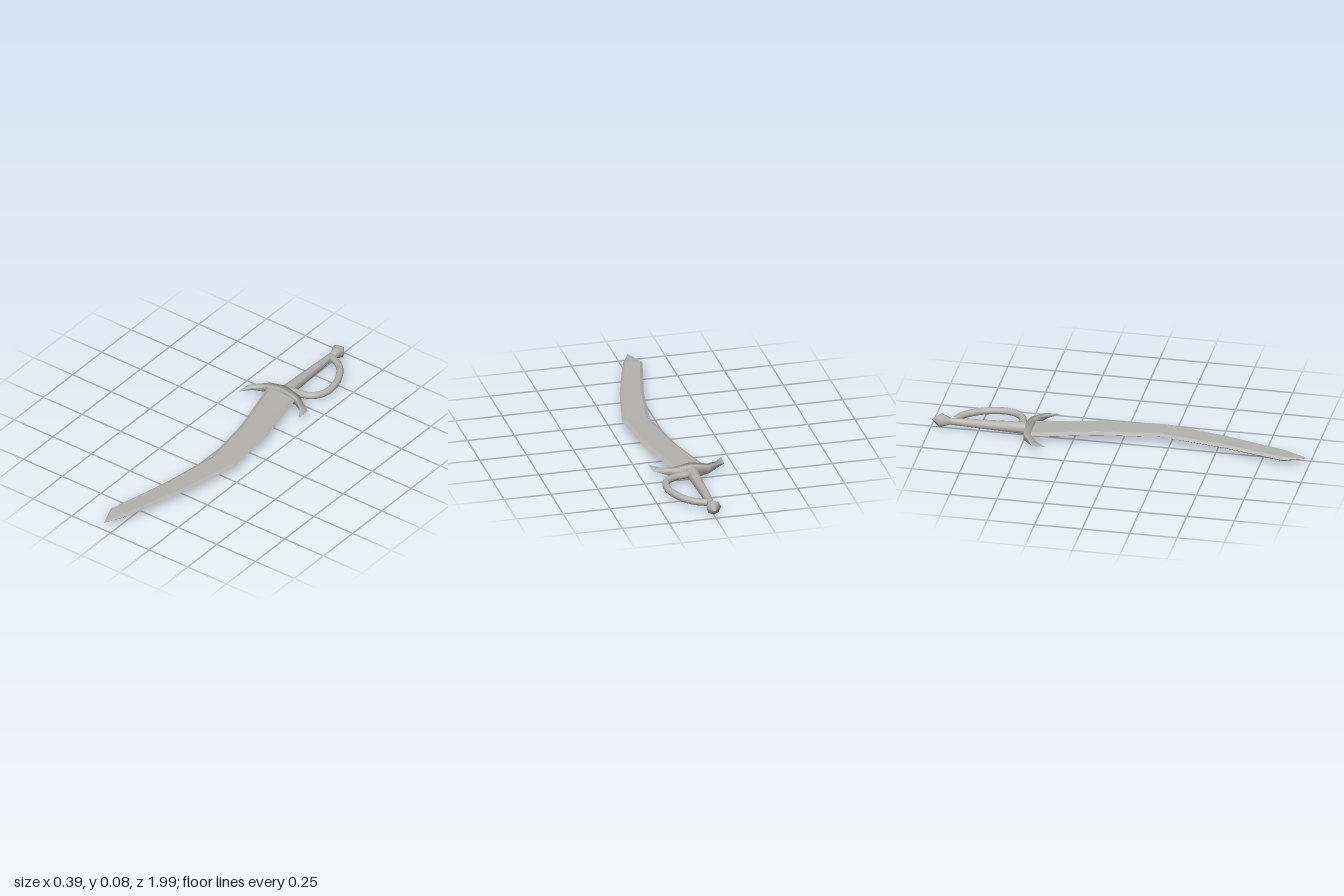
import * as THREE from 'three';

const MID = 0.04; // height of the sword's flat centre plane

// Skin a list of equal-length point rings, closing both ends
function loft(rings, smooth) {
  const n = rings[0].length, index = [];
  for (let i = 0; i < rings.length - 1; i++) {
    for (let k = 0; k < n; k++) {
      const a = i * n + k, b = i * n + (k + 1) % n;
      index.push(a, b, b + n, a, b + n, a + n);
    }
  }
  const last = (rings.length - 1) * n;
  for (let k = 1; k < n - 1; k++) {
    index.push(0, k + 1, k, last, last + k, last + k + 1);
  }
  let geo = new THREE.BufferGeometry();
  geo.setAttribute('position', new THREE.Float32BufferAttribute(rings.flat(2), 3));
  geo.setIndex(index);
  if (!smooth) geo = geo.toNonIndexed();
  geo.computeVertexNormals();
  return geo;
}

export function createModel() {
  const group = new THREE.Group();
  const steel = new THREE.MeshStandardMaterial({ color: 0xb3b2ae });
  steel.name = 'steel';
  const add = (name, geo) => {
    const mesh = new THREE.Mesh(geo, steel);
    mesh.name = name;
    group.add(mesh);
    return mesh;
  };

  // Curved blade: z, left edge x, right edge x, half thickness
  const stations = [
    [-0.47, -0.095, 0.085, 0.013],
    [-0.13, -0.005, 0.16, 0.012],
    [0.195, 0.042, 0.19, 0.01],
    [0.53, -0.012, 0.116, 0.011],
    [0.87, -0.095, 0.012, 0.012],
    [0.995, -0.047, -0.047, 0],
  ];
  add('blade', loft(stations.map(([z, l, r, h]) => {
    const bevel = (r - l) * 0.13;
    return [
      [r, MID, z], [r - bevel, MID + h, z], [l + bevel, MID + h, z],
      [l, MID, z], [l + bevel, MID - h, z], [r - bevel, MID - h, z],
    ];
  }), false));

  // Crossguard: back and front corners [x, z] from centre to drooping tip
  const half = [
    [[0, -0.5], [0, -0.462]],
    [[0.095, -0.494], [0.095, -0.46]],
    [[0.192, -0.433], [0.153, -0.418]],
    [[0.194, -0.355], [0.194, -0.355]],
  ];
  const mirrored = half.slice(1).reverse().map((s) => s.map(([x, z]) => [-x, z]));
  const rise = (x) => 0.039 * (1 - Math.abs(x) / 0.195);
  add('crossguard', loft([...mirrored, ...half].map(([[bx, bz], [fx, fz]]) => [
    [bx, MID + rise(bx), bz], [fx, MID + rise(fx), fz],
    [fx, MID - rise(fx), fz], [bx, MID - rise(bx), bz],
  ]), true));

  // Tapered grip
  const grip = add('grip', new THREE.CylinderGeometry(0.018, 0.034, 0.42, 8));
  grip.rotation.x = -Math.PI / 2;
  grip.position.set(0, MID, -0.7);

  // Faceted pommel
  const profile = [[0, 0], [0.018, 0], [0.039, 0.053], [0, 0.1]]
    .map(([r, y]) => new THREE.Vector2(r, y));
  const pommel = add('pommel', new THREE.LatheGeometry(profile, 8));
  pommel.rotation.x = -Math.PI / 2;
  pommel.position.set(0, MID, -0.897);

  // Knuckle bow on the left side of the grip
  const path = [
    [0.015, -0.882], [0.08, -0.85], [0.138, -0.775], [0.171, -0.67],
    [0.157, -0.586], [0.105, -0.539], [0.025, -0.525],
  ].map(([x, z]) => new THREE.Vector3(x, MID, z));
  add('knuckleBow', new THREE.TubeGeometry(new THREE.CatmullRomCurve3(path), 32, 0.0185, 12));

  // Rounded lower end of the bow
  const bowEnd = add('bowEnd', new THREE.SphereGeometry(0.0185, 12, 8));
  bowEnd.position.copy(path[path.length - 1]);

  return group;
}
